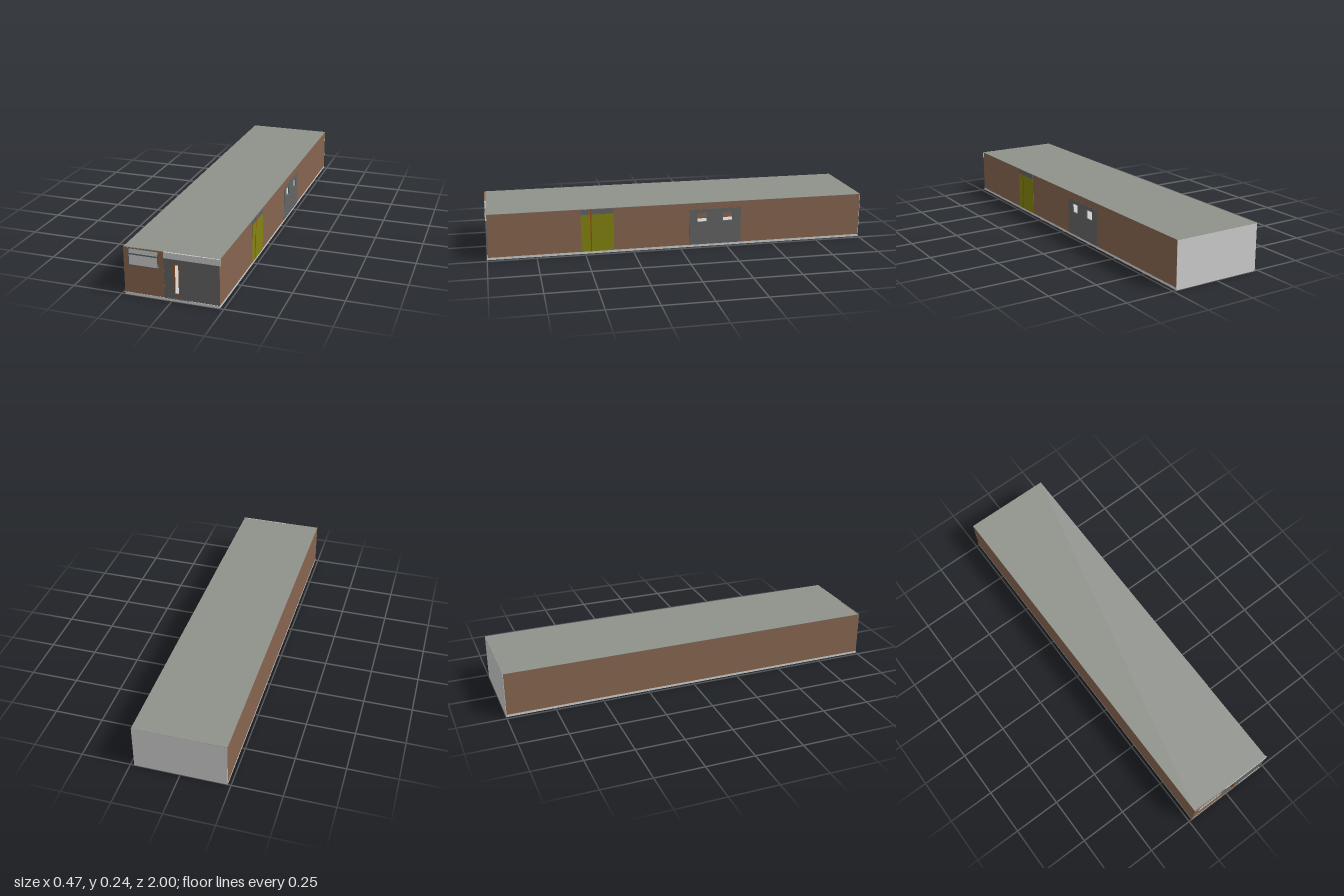
import * as THREE from 'three';

const mat = (name, color) => Object.assign(new THREE.MeshStandardMaterial({ color }), { name });

export function createModel() {
  const brown = mat('brown cladding', 0x86654f);
  const light = mat('light grey', 0xcecece);
  const dark = mat('dark grey panel', 0x646464);
  const roofGrey = mat('roof grey', 0x8f928b);
  const olive = mat('olive door', 0x838310);
  const slate = mat('slate frame', 0x64696e);
  const rust = mat('rust trim', 0x9a4a10);
  const group = new THREE.Group();
  const X0 = -0.234, X1 = 0.231, BASE = 0.0125, TOP = 0.24, ROOF = 0.239;

  const add = (name, geometry, material, parent = group) => {
    const mesh = new THREE.Mesh(geometry, material);
    mesh.name = name;
    parent.add(mesh);
    return mesh;
  };
  const box = (name, m, x0, x1, y0, y1, z0, z1) =>
    add(name, new THREE.BoxGeometry(x1 - x0, y1 - y0, z1 - z0), m)
      .position.set((x0 + x1) / 2, (y0 + y1) / 2, (z0 + z1) / 2);

  const rect = (Type, [u0, u1, v0, v1]) => {
    const p = new Type();
    p.moveTo(u0, v0); p.lineTo(u1, v0); p.lineTo(u1, v1); p.lineTo(u0, v1);
    p.closePath();
    return p;
  };
  // upright slab [u0, u1, v0, v1] with rectangular holes, from depth w0 to w1
  const slab = (name, m, parent, r, w0, w1, holes = []) => {
    const shape = rect(THREE.Shape, r);
    shape.holes = holes.map((h) => rect(THREE.Path, h));
    const g = new THREE.ExtrudeGeometry(shape, { depth: w1 - w0, bevelEnabled: false });
    return add(name, g.translate(0, 0, w0), m, parent);
  };
  const frame = (name, m, parent, [a, b, c, d], t, w0, w1) =>
    slab(name, m, parent, [a, b, c, d], w0, w1, [[a + t, b - t, c + t, d - t]]);

  // Shell
  box('base', light, X0, X1, 0, BASE, -0.998, 1);
  box('roof', roofGrey, X0, X1, ROOF, TOP, -1, 0.998);
  box('backWall', light, X0, X1, 0, ROOF, -1, -0.998);
  box('leftWall', brown, X0, X0 + 0.004, BASE, ROOF, -0.998, 0.998);

  // Front end: brown bay, dark panel with slot opening, light fascia
  const front = new THREE.Group();
  front.name = 'frontEnd';
  group.add(front);
  slab('frontBay', brown, front, [X0, -0.037, BASE, TOP], 0.992, 0.999);
  const slot = [0.014, 0.036, 0.037, 0.185];
  slab('frontPanel', dark, front, [-0.037, X1, BASE, 0.21], 0.992, 0.998, [slot]);
  slab('frontFascia', light, front, [-0.037, 0.234, 0.21, TOP], 0.992, 0.999);
  frame('slotFrame', rust, front, slot, 0.002, 0.993, 0.999);
  slab('threshold', dark, front, [-0.037, 0.085, BASE - 0.001, BASE + 0.001], 0.997, 1.0005);
  const pane = [-0.211, -0.063, 0.151, 0.239];
  slab('frontWindowPane', light, front, pane, 0.998, 0.9995);
  frame('frontWindowFrame', slate, front, pane, 0.004, 0.998, 1);
  slab('frontWindowBar', slate, front, [-0.208, -0.066, 0.205, 0.212], 0.998, 1);

  // Right side, drawn along u = -z and turned to face +x
  const side = new THREE.Group();
  side.name = 'rightSide';
  side.rotation.y = Math.PI / 2;
  group.add(side);
  const windows = [0.09, 0.23].map((u) => [u, u + 0.056, 0.134, 0.185]);
  slab('rightWall', brown, side, [-0.998, 0.998, BASE, ROOF], X1 - 0.004, X1, windows);
  slab('windowPanel', dark, side, [0.05, 0.33, BASE, 0.205], X1 - 0.001, X1 + 0.0015, windows);
  windows.forEach((w) => frame('squareWindowFrame', slate, side, w, 0.003, X1 - 0.004, X1 + 0.002));

  // Double door with transom lights
  [[-0.52, -0.47], [-0.466, -0.35]].forEach(([a, b]) => {
    slab('doorLeaf', olive, side, [a, b, BASE, 0.21], X1 - 0.001, X1 + 0.0015);
    slab('transomPane', dark, side, [a, b, 0.21, 0.238], X1 - 0.001, X1 + 0.001);
    frame('transomFrame', slate, side, [a, b, 0.21, 0.238], 0.003, X1 - 0.001, X1 + 0.0018);
  });
  slab('doorMullion', rust, side, [-0.471, -0.465, BASE, 0.238], X1 - 0.001, X1 + 0.002);

  return group;
}
